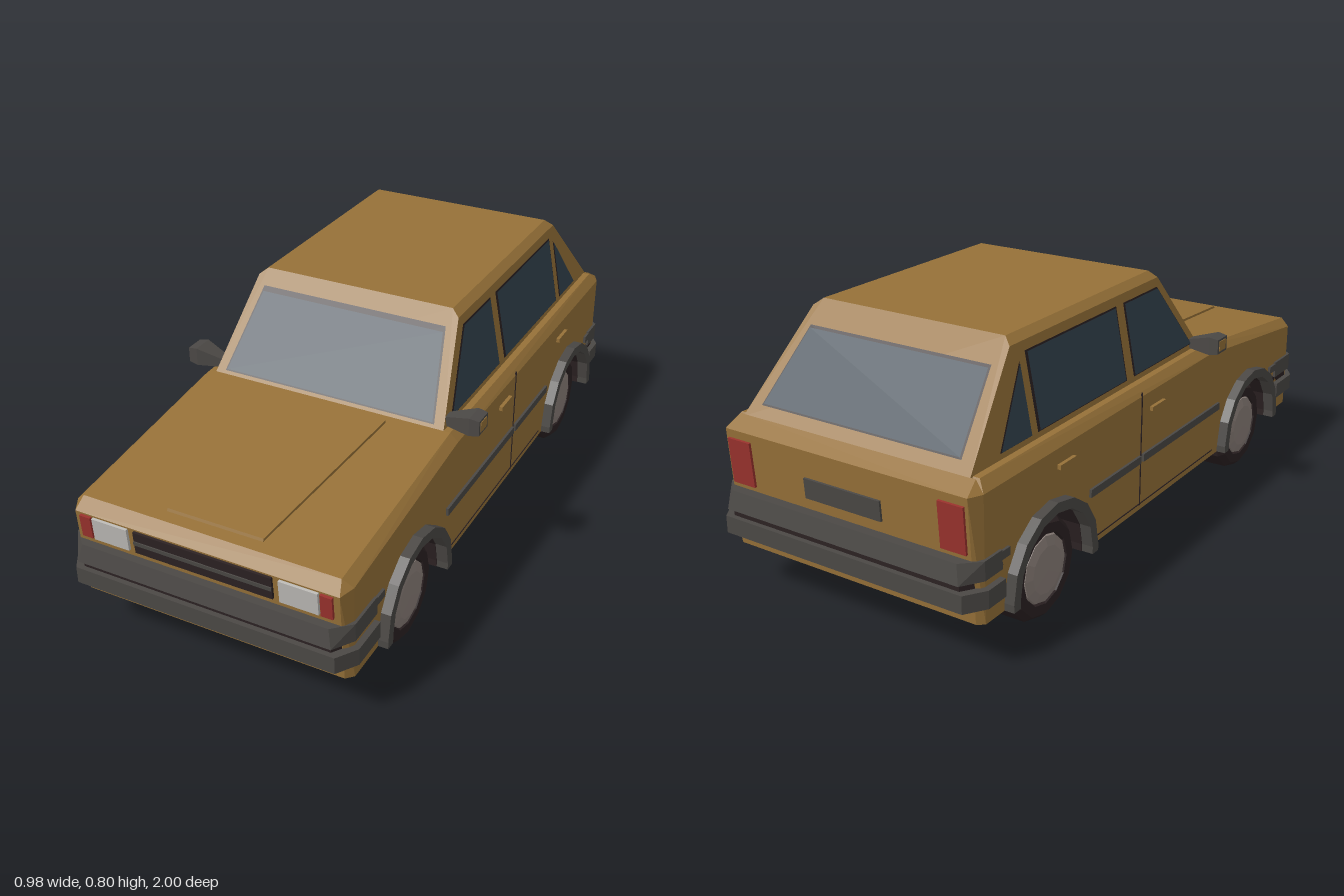
import * as THREE from 'three';
import { ConvexGeometry } from 'three/addons/geometries/ConvexGeometry.js';

const mat = (name, color, double) => {
  const m = new THREE.MeshStandardMaterial({ color });
  m.name = name;
  m.flatShading = true;
  if (double) m.side = THREE.DoubleSide;
  return m;
};

export function createModel() {
  const paint = mat('ochre paint', 0x967138);
  const glass = mat('window glass', 0x33434f, true);
  const trim = mat('grey trim', 0x4b4845);
  const dark = mat('dark rubber', 0x2c2223, true);
  const metal = mat('wheel metal', 0x8c807a);
  const lamp = mat('lamp white', 0xbcbab6);
  const red = mat('lamp red', 0x9a322d);

  const car = new THREE.Group();
  car.name = 'car';
  const add = (name, geo, m) => {
    const mesh = new THREE.Mesh(geo, m);
    mesh.name = name;
    car.add(mesh);
    return mesh;
  };
  const box = (name, m, w, h, d, x, y, z, tilt = 0) => {
    const mesh = add(name, new THREE.BoxGeometry(w, h, d), m);
    mesh.position.set(x, y, z);
    mesh.rotation.x = tilt;
    return mesh;
  };
  // Convex solid from points; 'both' mirrors them in x
  const hull = (name, m, pts, both = true) => {
    const v = pts.map(p => new THREE.Vector3(...p));
    if (both) pts.forEach(([x, y, z]) => v.push(new THREE.Vector3(-x, y, z)));
    return add(name, new ConvexGeometry(v), m);
  };
  // Thin flat panel: 2D outline placed on a surface by a rule
  const panel = (name, m, pts, rule) => {
    const g = new THREE.ShapeGeometry(new THREE.Shape(pts.map(p => new THREE.Vector2(...p))));
    const p = g.attributes.position;
    for (let i = 0; i < p.count; i++) p.setXYZ(i, ...rule(p.getX(i), p.getY(i)));
    g.computeVertexNormals();
    return add(name, g, m);
  };

  // Wheel arch outline in (z, y), from front leg over the top to rear leg
  const axles = [0.59, -0.64], axleY = 0.152, floor = 0.13;
  const arch = (c, r, low = floor) => {
    const pts = [[c + r, low]];
    for (let i = 0; i <= 8; i++) {
      const a = i * Math.PI / 8;
      pts.push([c + r * Math.cos(a), axleY + r * Math.sin(a)]);
    }
    pts.push([c - r, low]);
    return pts;
  };
  // Extrude a (z, y) outline sideways from x0 to x1
  const sideways = (pts, x0, x1) => {
    const s = new THREE.Shape(pts.map(([z, y]) => new THREE.Vector2(-z, y)));
    const g = new THREE.ExtrudeGeometry(s, { depth: x1 - x0, bevelEnabled: false });
    return g.rotateY(Math.PI / 2).translate(x0, 0, 0);
  };

  // Lower body with open wheel arches
  add('lowerBody', sideways([
    [0.93, floor], ...arch(axles[0], 0.18), ...arch(axles[1], 0.18),
    [-0.93, floor], [-0.93, 0.49], [0.3, 0.495], [0.93, 0.42]], -0.43, 0.43), paint);
  hull('nose', paint, [[0.43, floor, 0.93], [0.43, 0.42, 0.93], [0.41, floor, 0.95],
    [0.41, 0.41, 0.97], [0.4, 0.445, 0.94]]);
  hull('hood', paint, [[0.43, 0.42, 0.93], [0.43, 0.495, 0.3], [0.4, 0.445, 0.94], [0.405, 0.52, 0.3]]);
  hull('beltline', paint, [[0.43, 0.495, 0.3], [0.43, 0.49, -0.93], [0.405, 0.52, 0.3], [0.405, 0.52, -0.91]]);
  hull('tail', paint, [[0.43, floor, -0.93], [0.43, 0.49, -0.93], [0.41, floor, -0.945],
    [0.41, 0.49, -0.97], [0.4, 0.52, -0.92]]);
  hull('hoodPanel', paint, [[0.215, 0.525, 0.33], [0.15, 0.457, 0.9], [0.215, 0.5, 0.33], [0.15, 0.435, 0.91]]);

  // Cabin
  hull('cabin', paint, [[0.385, 0.515, 0.304], [0.385, 0.515, -0.925], [0.335, 0.78, 0.105],
    [0.335, 0.78, -0.678], [0.31, 0.8, 0.09], [0.31, 0.8, -0.66]]);
  const front = off => (x, y) => [x, y, 0.3 - 0.75 * (y - 0.52) + off];
  const rear = off => (x, y) => [x, y, -0.92 + 0.93 * (y - 0.52) - off];
  panel('windscreenSeal', dark, [[-0.352, 0.53], [0.352, 0.53], [0.305, 0.756], [-0.305, 0.756]], front(0.003));
  panel('windscreen', glass, [[-0.346, 0.535], [0.346, 0.535], [0.302, 0.743], [-0.302, 0.743]], front(0.006));
  panel('rearSeal', dark, [[-0.34, 0.548], [0.34, 0.548], [0.308, 0.738], [-0.308, 0.738]], rear(0.003));
  panel('rearWindow', glass, [[-0.334, 0.553], [0.334, 0.553], [0.304, 0.732], [-0.304, 0.732]], rear(0.006));

  const windows = {
    frontDoorWindow: [[0.25, 0.537], [0.088, 0.755], [-0.115, 0.755], [-0.115, 0.537]],
    rearDoorWindow: [[-0.155, 0.537], [-0.155, 0.755], [-0.622, 0.755], [-0.622, 0.537]],
    quarterWindow: [[-0.652, 0.537], [-0.652, 0.735], [-0.795, 0.537]],
  };
  for (const s of [1, -1]) {
    for (const [name, pts] of Object.entries(windows)) {
      const cz = pts.reduce((t, p) => t + p[0], 0) / pts.length;
      const cy = pts.reduce((t, p) => t + p[1], 0) / pts.length;
      const inner = pts.map(([z, y]) => [cz + (z - cz) * 0.965, cy + (y - cy) * 0.965]);
      const rule = off => (z, y) => [s * (0.386 - 0.1923 * (y - 0.52) + off), y, z];
      panel(name + 'Seal', dark, pts, rule(0.002));
      panel(name, glass, inner, rule(0.005));
    }

    // Side strips, handles and door seams
    for (const [a, b] of [[0.82, 0.775], [0.37, -0.138], [-0.152, -0.435], [-0.83, -0.87]])
      box('sideStrip', trim, 0.012, 0.024, a - b, s * 0.432, 0.298, (a + b) / 2);
    for (const z of [-0.055, -0.56]) box('doorHandle', paint, 0.014, 0.013, 0.08, s * 0.434, 0.44, z);
    box('doorSeam', dark, 0.004, 0.36, 0.004, s * 0.43, 0.325, -0.145);
    box('sillSeam', dark, 0.004, 0.003, 0.74, s * 0.43, 0.15, -0.03);

    // Mirror with painted outer plate
    const m = [];
    for (const y of [0.525, 0.55]) for (const z of [0.245, 0.275]) m.push([s * 0.37, y, z]);
    for (const y of [0.52, 0.577]) for (const z of [0.225, 0.293]) m.push([s * 0.458, y, z]);
    for (const y of [0.525, 0.572]) for (const z of [0.228, 0.29]) m.push([s * 0.488, y, z]);
    hull('mirror', trim, m, false);
    box('mirrorPlate', paint, 0.004, 0.032, 0.042, s * 0.488, 0.549, 0.259);

    // Front lamps and tail lamps
    box('headlight', lamp, 0.115, 0.07, 0.016, s * 0.293, 0.37, 0.968, 0.071);
    box('indicator', red, 0.035, 0.07, 0.016, s * 0.374, 0.37, 0.968, 0.071);
    box('tailLamp', red, 0.08, 0.135, 0.012, s * 0.36, 0.398, -0.965, -0.07);

    for (const c of axles) {
      // Arch flare
      const ring = [...arch(c, 0.208), ...arch(c, 0.178).reverse()];
      add('archFlare', s > 0 ? sideways(ring, 0.415, 0.46) : sideways(ring, -0.46, -0.415), trim);

      // Wheel: lathed tyre with chamfered outer edge, and a domed hub
      const spin = (pts, m, name) => {
        const g = new THREE.LatheGeometry(pts.map(p => new THREE.Vector2(...p)), 12);
        const mesh = add(name, g.rotateZ(-Math.PI / 2), m);
        mesh.position.set(s * 0.32, axleY, c);
        if (s < 0) mesh.rotation.y = Math.PI;
      };
      spin([[0, 0], [0.152, 0], [0.152, 0.08], [0.135, 0.1], [0.105, 0.1], [0.1, 0.09], [0, 0.09]], dark, 'tyre');
      spin([[0.102, 0.088], [0.098, 0.098], [0.07, 0.106], [0, 0.108]], metal, 'hub');
    }
  }

  // Dark lining of the wheel tunnels
  for (const c of axles)
    add('wheelTunnel', sideways([...arch(c, 0.179), ...arch(c, 0.176).reverse()], -0.425, 0.425), dark);

  // Grille and number plate panel
  box('grille', dark, 0.43, 0.07, 0.014, 0, 0.37, 0.968, 0.071);
  box('grilleBar', trim, 0.43, 0.012, 0.02, 0, 0.37, 0.968, 0.071);
  box('rearPlate', trim, 0.26, 0.06, 0.012, 0, 0.38, -0.963, -0.07);

  // Double-beam bumpers with a dark gap between
  for (const [name, d, end] of [['frontBumper', 1, 0.82], ['rearBumper', -1, 0.865]]) {
    const beam = (w, y0, y1, lean) => {
      const pts = [];
      for (const [y, k] of [[y0, 0], [y1, lean]])
        pts.push([w, y, d * end], [w, y, d * 0.94], [w - 0.04 - k, y, d * (1 - k)]);
      return pts;
    };
    hull(name + 'Lower', trim, beam(0.448, 0.185, 0.237, 0));
    hull(name + 'Upper', trim, beam(0.438, 0.26, 0.315, 0.012));
    hull(name + 'Gap', dark, beam(0.432, 0.23, 0.265, 0).map(([x, y, z]) => [x - 0.002, y, z - d * 0.015]));
  }
  return car;
}
